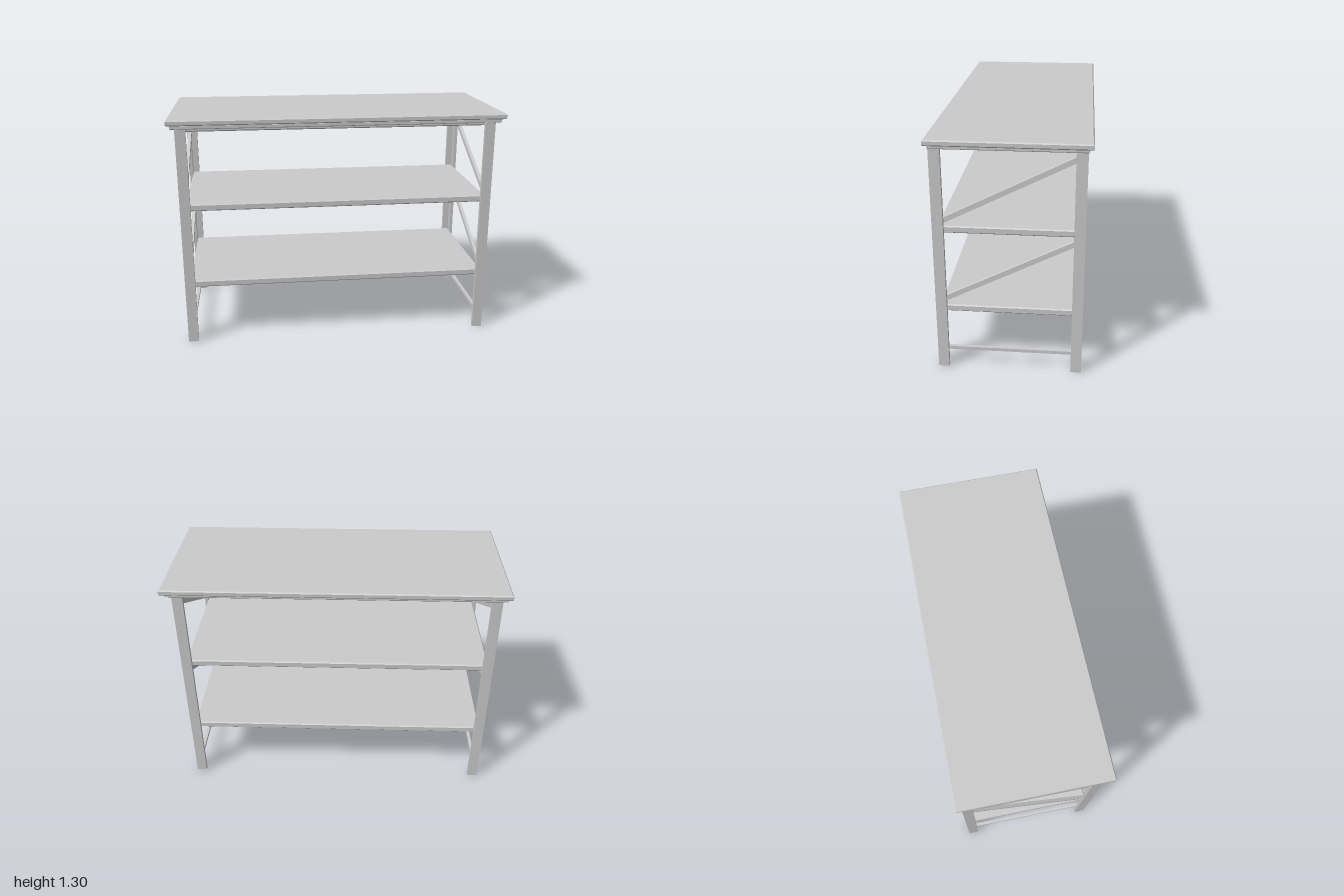
import * as THREE from 'three';

const material = new THREE.MeshStandardMaterial({ color: 0xcccccc, flatShading: true });

// Horizontal board with small bevels along its upper and lower edges
function board(name, halfX, halfZ, y0, y1, bevel) {
  const hx = halfX - bevel, hz = halfZ - bevel;
  const shape = new THREE.Shape([
    new THREE.Vector2(-hx, -hz), new THREE.Vector2(hx, -hz),
    new THREE.Vector2(hx, hz), new THREE.Vector2(-hx, hz),
  ]);
  const geo = new THREE.ExtrudeGeometry(shape, {
    depth: y1 - y0 - 2 * bevel, bevelEnabled: true,
    bevelSize: bevel, bevelThickness: bevel, bevelSegments: 1,
  });
  geo.rotateX(-Math.PI / 2);
  geo.translate(0, y0 + bevel, 0);
  const mesh = new THREE.Mesh(geo, material);
  mesh.name = name;
  return mesh;
}

// Angle-profile leg whose flanges point towards the middle of the table
function leg(name, sx, sz) {
  const X = 0.874, Z = 0.384, w = 0.057, t = 0.02, height = 1.248;
  const outline = [[X, Z], [X - w, Z], [X - w, Z - t], [X - t, Z - t], [X - t, Z - w], [X, Z - w]];
  const shape = new THREE.Shape(outline.map(([x, z]) => new THREE.Vector2(x * sx, -z * sz)));
  const geo = new THREE.ExtrudeGeometry(shape, { depth: height, bevelEnabled: false });
  geo.rotateX(-Math.PI / 2);
  const mesh = new THREE.Mesh(geo, material);
  mesh.name = name;
  return mesh;
}

// Flat bar in an end frame, from (z0, y0) at the front to (z1, y1) at the back
function endBar(name, x, z0, y0, z1, y1, h) {
  const shape = new THREE.Shape([
    new THREE.Vector2(-z0, y0 - h / 2), new THREE.Vector2(-z1, y1 - h / 2),
    new THREE.Vector2(-z1, y1 + h / 2), new THREE.Vector2(-z0, y0 + h / 2),
  ]);
  const depth = 0.018;
  const geo = new THREE.ExtrudeGeometry(shape, { depth, bevelEnabled: false });
  geo.translate(0, 0, -depth / 2);
  geo.rotateY(Math.PI / 2);
  const mesh = new THREE.Mesh(geo, material);
  mesh.position.x = x;
  mesh.name = name;
  return mesh;
}

export function createModel() {
  const root = new THREE.Group();
  root.name = 'shelvedWorkTable';

  // Frame, shelves and bars sit slightly off the centre of the top
  const frame = new THREE.Group();
  frame.name = 'frame';
  frame.position.set(-0.007, 0, 0.006);

  for (const [end, sx] of [['left', 1], ['right', -1]]) {
    frame.add(leg(end + 'FrontLeg', sx, 1), leg(end + 'BackLeg', sx, -1));
    const x = sx * 0.843;
    // Diagonal braces rise towards the back
    for (const [level, y] of [['Lower', 0.579], ['Upper', 1.024]]) {
      frame.add(endBar(end + level + 'Brace', x, 0.364, y - 0.186, -0.364, y + 0.186, 0.031));
    }
    frame.add(endBar(end + 'FootRail', x, 0.364, 0.104, -0.364, 0.104, 0.018));
  }

  // Shelves, the last one directly under the top
  [['lowerShelf', 0.332], ['middleShelf', 0.786], ['topSupport', 1.23]].forEach(([name, y]) => {
    frame.add(board(name, 0.851, 0.362, y, y + 0.038, 0.006));
  });

  const underTop = board('underTop', 0.904, 0.385, 1.247, 1.269, 0.004);
  underTop.position.set(-0.003, 0, 0.002);
  const top = board('tableTop', 0.926, 0.404, 1.268, 1.298, 0.006);

  // The whole table stands turned on the floor
  root.add(frame, underTop, top);
  root.rotation.y = -Math.PI / 12;
  return root;
}
